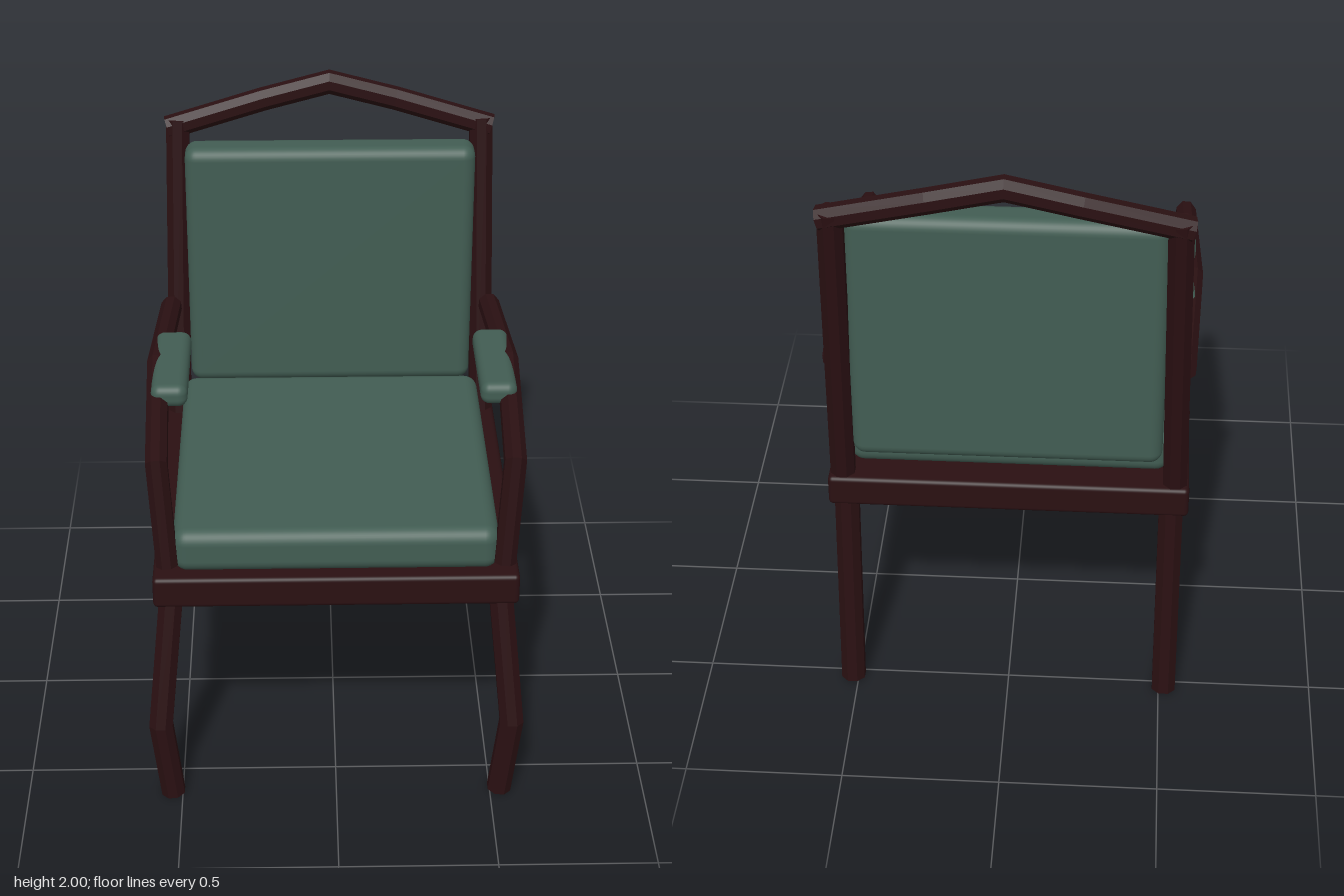
import * as THREE from 'three';
import { RoundedBoxGeometry } from 'three/addons/geometries/RoundedBoxGeometry.js';

const wood = new THREE.MeshStandardMaterial({ color: 0x2a1012 });
wood.name = 'dark wood';
const fabric = new THREE.MeshStandardMaterial({ color: 0x425d53 });
fabric.name = 'green fabric';

// Faceted eight-sided rod through a list of points, mitred at each bend
function rodGeometry(points, radius) {
  const pts = points.map((p) => new THREE.Vector3(...p));
  const n = pts.length - 1;
  const dirs = pts.slice(1).map((p, i) => p.clone().sub(pts[i]).normalize());
  const ref = Math.abs(dirs[0].x) > 0.7 ? new THREE.Vector3(0, 1, 0) : new THREE.Vector3(1, 0, 0);
  const w = new THREE.Vector3().crossVectors(ref, dirs[0]).normalize();
  const u = new THREE.Vector3().crossVectors(dirs[0], w);
  const geo = new THREE.CylinderGeometry(radius, radius, 1, 8, n).rotateY(Math.PI / 8);
  const pos = geo.attributes.position;
  for (let k = 0; k < pos.count; k++) {
    const row = Math.round((pos.getY(k) + 0.5) * n);
    const offset = u.clone().multiplyScalar(pos.getX(k)).addScaledVector(w, pos.getZ(k));
    // Slide the offset along each segment onto the mitre plane of the next joint
    for (let i = 1; i <= row; i++) {
      const along = dirs[i - 1];
      const normal = along.clone().add(dirs[Math.min(i, n - 1)]).normalize();
      offset.addScaledVector(along, -offset.dot(normal) / along.dot(normal));
    }
    pos.setXYZ(k, ...offset.add(pts[row]).toArray());
  }
  const flat = geo.toNonIndexed();
  flat.computeVertexNormals();
  return flat;
}

export function createModel() {
  const chair = new THREE.Group();
  chair.name = 'armchair';

  const add = (name, geometry, material) => {
    const mesh = new THREE.Mesh(geometry, material);
    mesh.name = name;
    chair.add(mesh);
  };
  const rod = (name, points, radius) => add(name, rodGeometry(points, radius), wood);
  // Rounded block given by its lower and upper corners
  const block = (name, lo, hi, round, material) => {
    const size = hi.map((v, i) => v - lo[i]);
    const geo = new RoundedBoxGeometry(...size, 4, round);
    geo.translate(...lo.map((v, i) => (v + hi[i]) / 2));
    add(name, geo, material);
  };

  // Seat and back
  block('seatFrame', [-0.57, 0.715, -0.525], [0.57, 0.82, 0.615], 0.015, wood);
  block('seatCushion', [-0.505, 0.825, -0.45], [0.505, 0.97, 0.595], 0.045, fabric);
  block('backCushion', [-0.48, 0.94, -0.565], [0.48, 1.8, -0.44], 0.04, fabric);

  // Crest rail
  rod('crestRail', [
    [-0.54, 1.82, -0.6], [-0.22, 1.907, -0.632], [0, 1.962, -0.642],
    [0.22, 1.907, -0.632], [0.54, 1.82, -0.6],
  ], 0.039);

  // Paired parts
  for (const [side, s] of [['left', 1], ['right', -1]]) {
    rod(side + 'FrontLeg', [[s * 0.515, 0.74, 0.55], [s * 0.56, 0.285, 0.635], [s * 0.53, 0.003, 0.62]], 0.04);
    rod(side + 'BackLeg', [[s * 0.515, 0.74, -0.483], [s * 0.517, 0.003, -0.53]], 0.041);
    rod(side + 'BackPost', [[s * 0.525, 0.8, -0.475], [s * 0.505, 1.85, -0.605]], 0.041);
    rod(side + 'Arm', [
      [s * 0.523, 0.855, 0.58], [s * 0.545, 1.195, 0.545],
      [s * 0.562, 1.265, 0.03], [s * 0.54, 1.23, -0.455],
    ], 0.036);
    const x = [s * 0.46, s * 0.575].sort((a, b) => a - b);
    block(side + 'ArmPad', [x[0], 1.225, -0.145], [x[1], 1.3, 0.26], 0.03, fabric);
  }
  return chair;
}
